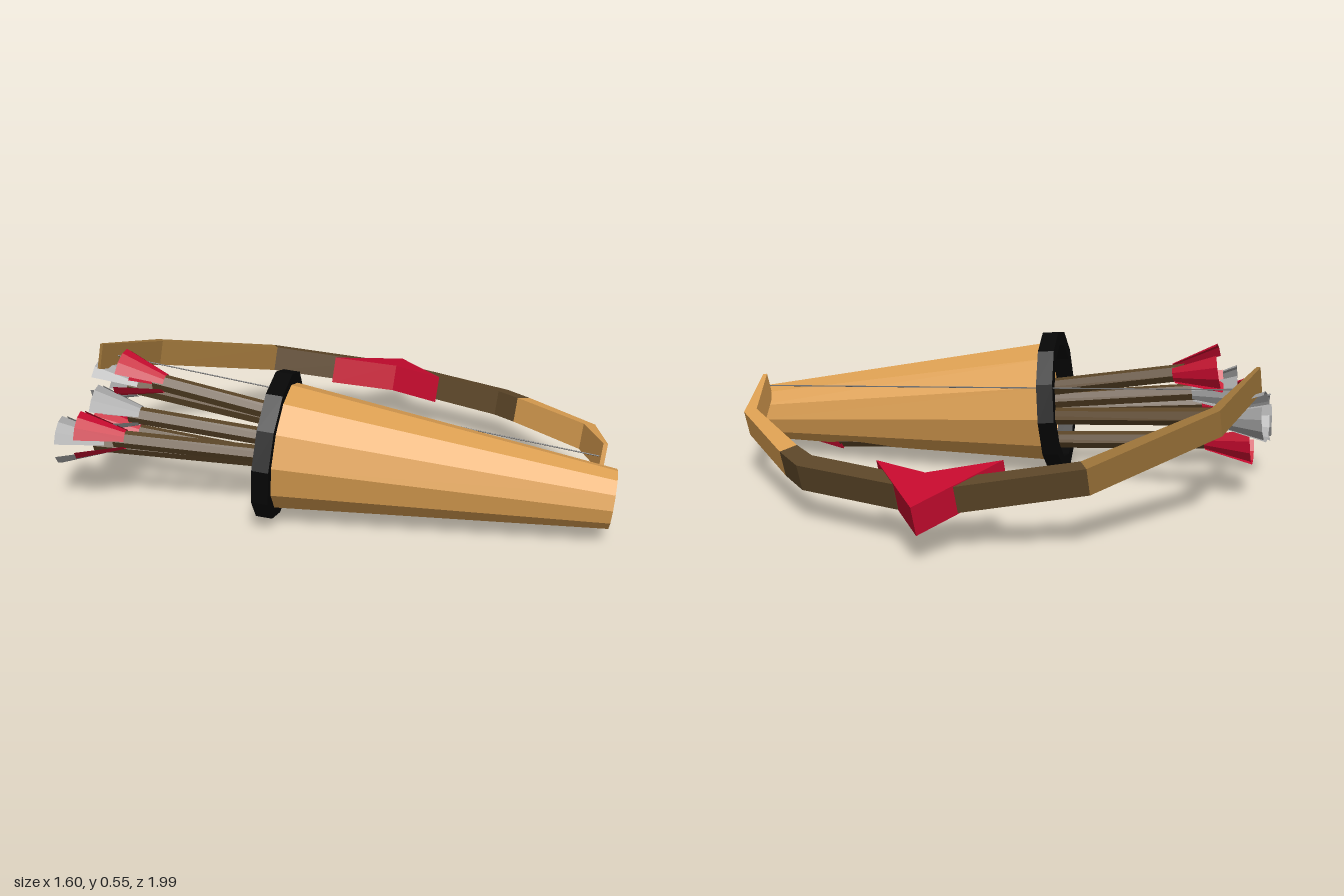
import * as THREE from 'three';

const mat = (name, color) =>
  new THREE.MeshStandardMaterial({ name, color, flatShading: true, side: THREE.DoubleSide });
const V = (x, y, z) => new THREE.Vector3(x, y, z);
const UP = V(0, 1, 0);

// Bow plane: tilted down towards +x
const SLOPE = -0.25;
const bowY = (x) => 0.36 + SLOPE * x;
const NORMAL = V(-SLOPE, 1, 0).normalize();

function add(parent, name, geometry, material) {
  const mesh = new THREE.Mesh(geometry, material);
  mesh.name = name;
  parent.add(mesh);
  return mesh;
}

// Group whose local +y runs from a to b, with its origin at a
function along(name, a, b) {
  const g = new THREE.Group();
  g.name = name;
  g.position.copy(a);
  g.quaternion.setFromUnitVectors(UP, b.clone().sub(a).normalize());
  return g;
}

// Builds a geometry from a list of quads [a, b, c, d]
function quads(list) {
  const pos = [];
  for (const [a, b, c, d] of list)
    for (const p of [a, b, c, a, c, d]) pos.push(p.x, p.y, p.z);
  const g = new THREE.BufferGeometry();
  g.setAttribute('position', new THREE.Float32BufferAttribute(pos, 3));
  g.computeVertexNormals();
  return g;
}

// Four-sided band through rings of corners, capped at both ends;
// caps are split along the diagonal from corner 0 to corner 2
function band(rings) {
  const list = [];
  for (let i = 0; i + 1 < rings.length; i++)
    for (let k = 0; k < 4; k++) {
      const m = (k + 1) % 4;
      list.push([rings[i][k], rings[i][m], rings[i + 1][m], rings[i + 1][k]]);
    }
  const [a, b, c, d] = rings[0];
  list.push([a, d, c, b], rings[rings.length - 1]);
  return quads(list);
}

export function createModel() {
  const model = new THREE.Group();
  model.name = 'bowAndQuiver';
  const tan = mat('tan', 0xdda052);
  const midBrown = mat('mid brown', 0x9a7238);
  const brown = mat('dark brown', 0x5c4628);
  const black = mat('black', 0x060606);
  const red = mat('red', 0xc60a2e);
  const grey = mat('grey', 0xa3a3a3);
  const cord = mat('cord grey', 0x707070);

  // Quiver: open tapered tube with a closed foot and a black rim
  const foot = V(0.25, 0.16, 0.947);
  const mouth = V(-0.3, 0.275, -0.12);
  const length = foot.distanceTo(mouth);
  const quiver = along('quiver', foot, mouth);
  model.add(quiver);
  const P = (x, y) => new THREE.Vector2(x, y);
  add(quiver, 'quiverBody',
    new THREE.LatheGeometry([P(0, 0), P(0.107, 0), P(0.234, length)], 12), tan);
  const rim = [P(0.22, -0.03), P(0.272, -0.03), P(0.272, 0.03), P(0.22, 0.03), P(0.22, -0.03)];
  add(quiver, 'quiverRim', new THREE.LatheGeometry(rim, 12), black).position.y = length;

  // Arrows: tail, head point, feather material
  const inside = V(0.2, 0.17, 0.76);
  const arrows = [
    [V(-0.48, 0.464, -0.72), inside, red],
    [V(-0.61, 0.36, -0.73), inside, grey],
    [V(-0.705, 0.29, -0.72), inside, red],
    [V(-0.71, 0.245, -0.82), inside, grey],
    [V(-0.49, 0.215, -0.86), V(0.192, 0.068, 0.75), red],
    [V(-0.375, 0.348, -0.965), V(0.2, 0.17, 0.75), grey],
  ];
  const FEATHER = 0.17;
  const ARC = 1.5;
  for (const [tail, tip, feather] of arrows) {
    const arrow = along('arrow', tip, tail);
    model.add(arrow);
    const len = tip.distanceTo(tail);
    const shaftLen = len - 0.14 - FEATHER * 0.75;
    add(arrow, 'arrowShaft', new THREE.CylinderGeometry(0.032, 0.032, shaftLen, 6), brown)
      .position.y = 0.14 + shaftLen / 2;
    const head = add(arrow, 'arrowHead', new THREE.ConeGeometry(0.04, 0.15, 4), red);
    head.position.y = 0.075;
    head.rotation.x = Math.PI;
    // Three curved feathers flaring out around the tail
    for (let i = 0; i < 3; i++) {
      const middle = -0.1 + i * Math.PI * 2 / 3;
      add(arrow, 'arrowFeather', new THREE.CylinderGeometry(
        0.09, 0.036, FEATHER, 3, 1, true, middle - ARC / 2, ARC), feather)
        .position.y = len - FEATHER / 2;
    }
  }

  // Bow: x, z and half thickness along the limbs
  const path = [
    [0.285, 0.88, 0.008], [0.53, 0.69, 0.024], [0.68, 0.32, 0.033], [0.718, 0.2, 0.038],
    [0.678, -0.2, 0.034], [0.635, -0.37, 0.03], [0.37, -0.72, 0.028],
    [-0.1, -0.925, 0.018], [-0.42, -0.91, 0.007],
  ];
  const centre = path.map(([x, z]) => V(x, bowY(x), z));
  const rings = path.map(([, , t], i) => {
    const before = centre[Math.max(i - 1, 0)];
    const after = centre[Math.min(i + 1, path.length - 1)];
    const side = after.clone().sub(before).normalize().cross(NORMAL).normalize();
    return [[1, 1], [-1, 1], [-1, -1], [1, -1]].map(([s, h]) => centre[i].clone()
      .addScaledVector(side, s * t).addScaledVector(NORMAL, h * 0.049));
  });
  const bow = new THREE.Group();
  bow.name = 'bow';
  model.add(bow);
  add(bow, 'frontLimb', band(rings.slice(0, 3)), tan);
  add(bow, 'bowHandle', band(rings.slice(2, 7)), brown);
  add(bow, 'backLimb', band(rings.slice(6)), midBrown);

  // Red arrow-shaped grip, starting at its point so the notch lies on the cap diagonal
  const outline = [[0.798, -0.365], [0.45, -0.46], [0.615, -0.265], [0.62, -0.05]];
  const level = (h) => outline.map(([x, z]) =>
    V(x, bowY(x), z).addScaledVector(NORMAL, h));
  add(bow, 'bowGrip', band([level(-0.053), level(0.053)]), red);

  // Bowstring
  const a = V(0.285, bowY(0.285), 0.865);
  const b = V(-0.335, bowY(-0.335), -0.905);
  const string = along('bowstring', a, b);
  bow.add(string);
  const span = a.distanceTo(b);
  add(string, 'cord', new THREE.CylinderGeometry(0.0025, 0.0025, span, 5), cord)
    .position.y = span / 2;

  return model;
}
